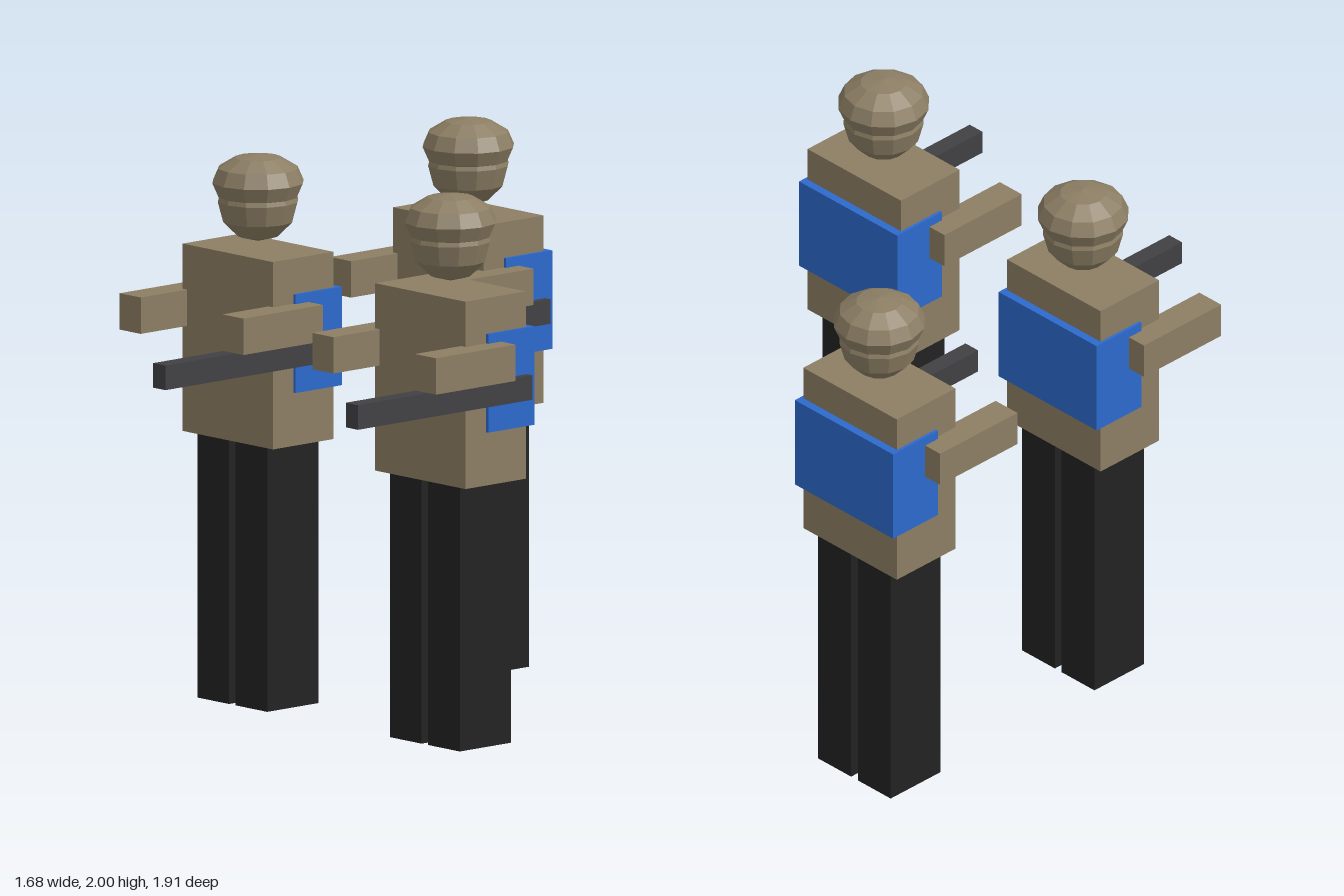
import * as THREE from 'three';

const material = (name, color, flatShading = false) => {
  const m = new THREE.MeshStandardMaterial({ color, flatShading });
  m.name = name;
  return m;
};

export function createModel() {
  const tan = material('tan cloth', 0x8c7e64, true);
  const black = material('black trousers', 0x222222, true);
  const grey = material('dark metal', 0x414144, true);
  const blue = material('blue pack', 0x2c6acc, true);

  // Box given by its low and high limits on each axis
  const box = (name, mat, [x0, x1], [y0, y1], [z0, z1]) => {
    const mesh = new THREE.Mesh(new THREE.BoxGeometry(x1 - x0, y1 - y0, z1 - z0), mat);
    mesh.position.set((x0 + x1) / 2, (y0 + y1) / 2, (z0 + z1) / 2);
    mesh.name = name;
    return mesh;
  };

  // Low-poly ball, squashed vertically for the helmet
  const ball = (name, mat, r, halfHeight, y) => {
    const mesh = new THREE.Mesh(new THREE.SphereGeometry(r, 12, 6).scale(1, halfHeight / r, 1), mat);
    mesh.position.y = y;
    mesh.name = name;
    return mesh;
  };

  const createFigure = () => {
    const figure = new THREE.Group();
    figure.add(
      box('torso', tan, [-0.24, 0.24], [0.97, 1.655], [-0.147, 0.147]),
      box('backpack', blue, [-0.252, 0.252], [1.165, 1.525], [-0.178, 0.047]),
      box('rifle', grey, [0.215, 0.28], [1.265, 1.355], [-0.143, 0.707]),
      ball('head', tan, 0.148, 0.148, 1.828),
      ball('helmet', tan, 0.168, 0.103, 1.897)
    );
    // Paired limbs
    for (const [side, s] of [['left', 1], ['right', -1]]) {
      const span = (a, b) => (s > 0 ? [a, b] : [-b, -a]);
      figure.add(
        box(side + 'Leg', black, span(0.017, 0.186), [0, 0.97], [-0.125, 0.125]),
        box(side + 'Arm', tan, span(0.217, 0.329), [1.357, 1.49], [-0.016, 0.372])
      );
    }
    return figure;
  };

  // Three figures in an L-shaped formation
  const model = new THREE.Group();
  model.name = 'squad';
  const places = [['frontRightFigure', -0.513, 0.248], ['frontLeftFigure', 0.511, 0.248], ['rearFigure', -0.513, -0.776]];
  for (const [name, x, z] of places) {
    const figure = createFigure();
    figure.name = name;
    figure.position.set(x, 0, z);
    model.add(figure);
  }
  return model;
}
